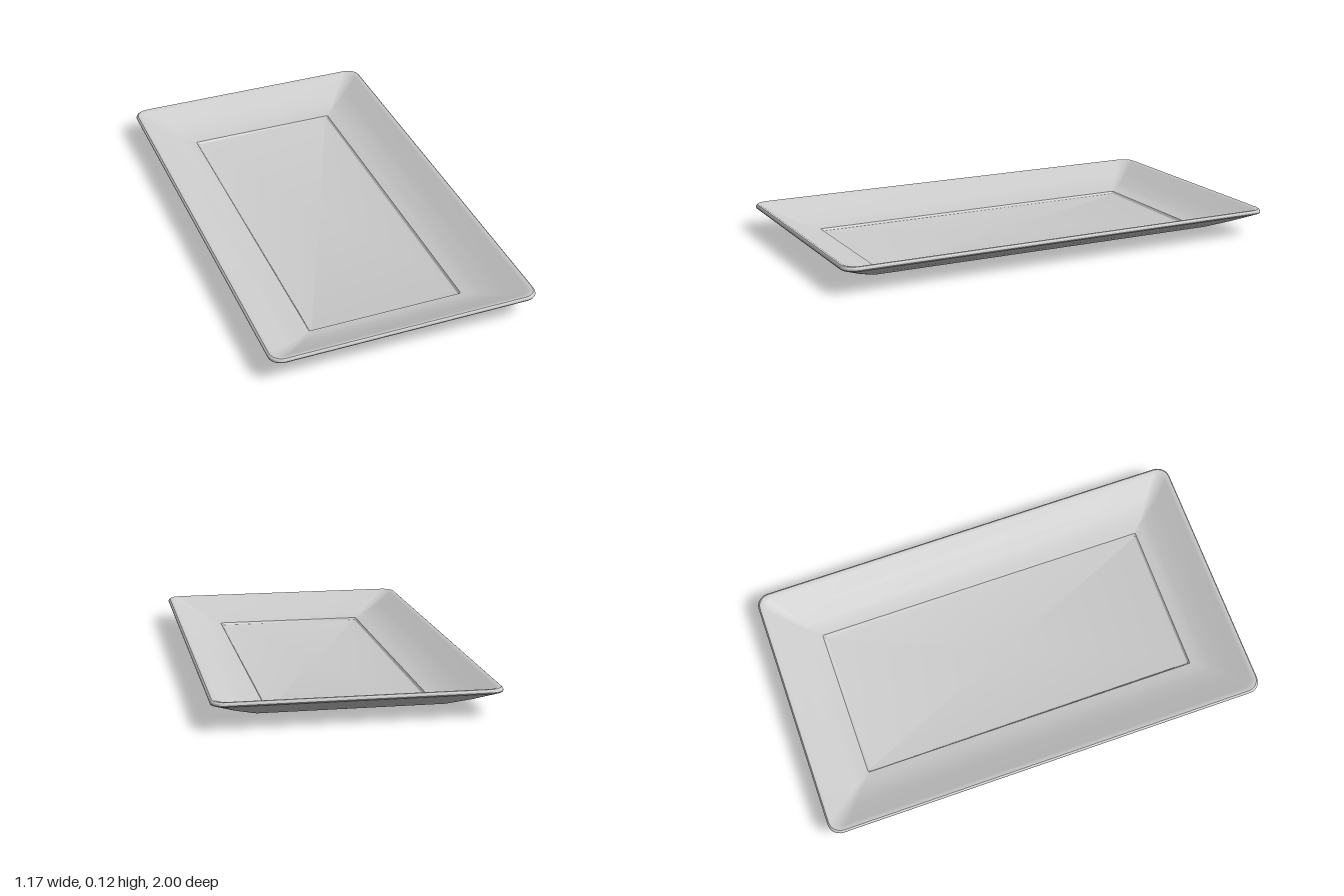
import * as THREE from 'three';
import { toCreasedNormals } from 'three/addons/utils/BufferGeometryUtils.js';

const CORNER_STEPS = 6;

// Outline of a rounded rectangle at height y, as a loop of points
function roundedRing([halfX, halfZ, y, radius]) {
  const points = [];
  const corners = [[1, 1], [-1, 1], [-1, -1], [1, -1]];
  corners.forEach(([sx, sz], quarter) => {
    for (let i = 0; i <= CORNER_STEPS; i++) {
      const angle = (quarter + i / CORNER_STEPS) * Math.PI / 2;
      points.push([
        sx * (halfX - radius) + radius * Math.cos(angle),
        y,
        sz * (halfZ - radius) + radius * Math.sin(angle),
      ]);
    }
  });
  return points;
}

// Skin a stack of rings, closing the first and last with a flat cap
function skinRings(sections) {
  const rings = sections.map(roundedRing);
  const count = rings[0].length;
  const positions = rings.flat(2);
  const indices = [];
  for (let r = 0; r < rings.length - 1; r++) {
    for (let i = 0; i < count; i++) {
      const j = (i + 1) % count;
      const a = r * count + i, b = a + count;
      const c = r * count + j, d = c + count;
      indices.push(a, b, c, b, d, c);
    }
  }
  const bottom = positions.length / 3, top = bottom + 1;
  positions.push(0, sections[0][2], 0, 0, sections.at(-1)[2], 0);
  const last = (rings.length - 1) * count;
  for (let i = 0; i < count; i++) {
    const j = (i + 1) % count;
    indices.push(bottom, i, j, top, last + j, last + i);
  }
  const geometry = new THREE.BufferGeometry();
  geometry.setAttribute('position', new THREE.Float32BufferAttribute(positions, 3));
  geometry.setIndex(indices);
  return toCreasedNormals(geometry, 0.55);
}

export function createModel() {
  const group = new THREE.Group();
  group.name = 'servingTray';
  const material = new THREE.MeshStandardMaterial({ color: 0xcccccc });

  // Each section: half width, half length, height, corner radius
  const sections = [
    // underside and flared outer wall
    [0.34, 0.76, 0, 0.006],
    [0.37, 0.79, 0.006, 0.012],
    [0.40, 0.82, 0.015, 0.02],
    [0.49, 0.91, 0.054, 0.035],
    [0.583, 0.998, 0.098, 0.055],
    // rounded rim
    [0.585, 1.0, 0.103, 0.056],
    [0.583, 0.998, 0.11, 0.056],
    [0.577, 0.993, 0.115, 0.054],
    [0.568, 0.984, 0.115, 0.052],
    [0.556, 0.972, 0.109, 0.048],
    // sloping inner wall
    [0.48, 0.90, 0.069, 0.035],
    [0.41, 0.83, 0.037, 0.02],
    [0.375, 0.795, 0.026, 0.012],
    [0.342, 0.764, 0.02, 0.005],
    // small step down to the flat floor
    [0.335, 0.757, 0.011, 0.004],
    [0.328, 0.750, 0.009, 0.003],
  ];
  const tray = new THREE.Mesh(skinRings(sections), material);
  tray.name = 'trayBody';
  group.add(tray);
  return group;
}
